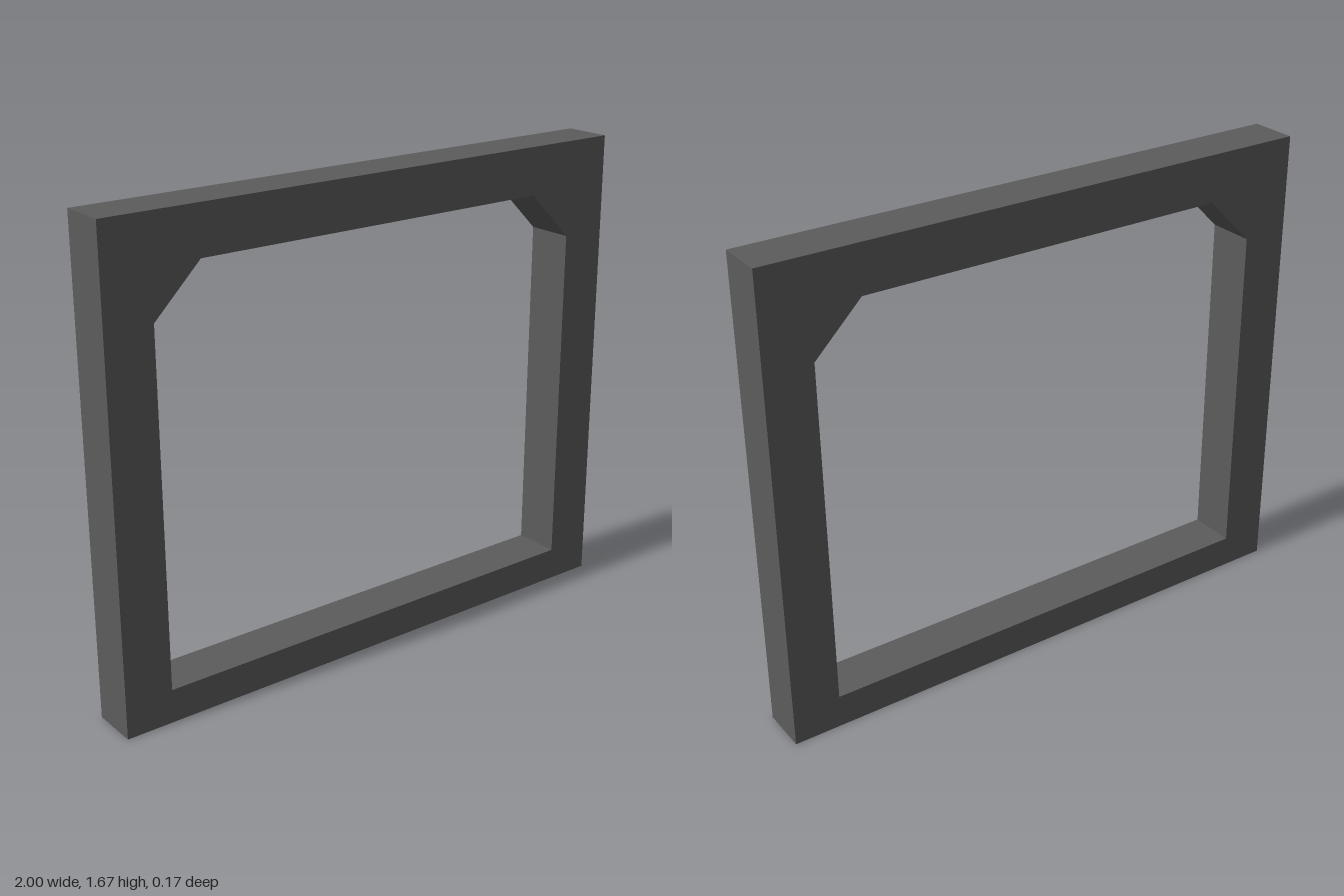
import * as THREE from 'three';

const WIDTH = 2, HEIGHT = 1.667, DEPTH = 0.167;

export function createModel() {
  const group = new THREE.Group();
  group.name = 'doorwayFrame';
  const material = new THREE.MeshStandardMaterial({ color: 0x5c5c5c, flatShading: true });

  // Outer rectangle
  const w = WIDTH / 2;
  const outline = new THREE.Shape([
    [-w, 0], [w, 0], [w, HEIGHT], [-w, HEIGHT],
  ].map(([x, y]) => new THREE.Vector2(x, y)));

  // Opening with chamfered upper corners
  const side = 0.833, sill = 0.117, lintel = 1.5, chamfer = 0.167;
  outline.holes.push(new THREE.Path([
    [-side, sill], [-side, lintel - chamfer], [-side + chamfer, lintel],
    [side - chamfer, lintel], [side, lintel - chamfer], [side, sill],
  ].map(([x, y]) => new THREE.Vector2(x, y))));

  const geometry = new THREE.ExtrudeGeometry(outline, { depth: DEPTH, bevelEnabled: false });
  geometry.translate(0, 0, -DEPTH / 2);

  const frame = new THREE.Mesh(geometry, material);
  frame.name = 'frame';
  group.add(frame);
  return group;
}
